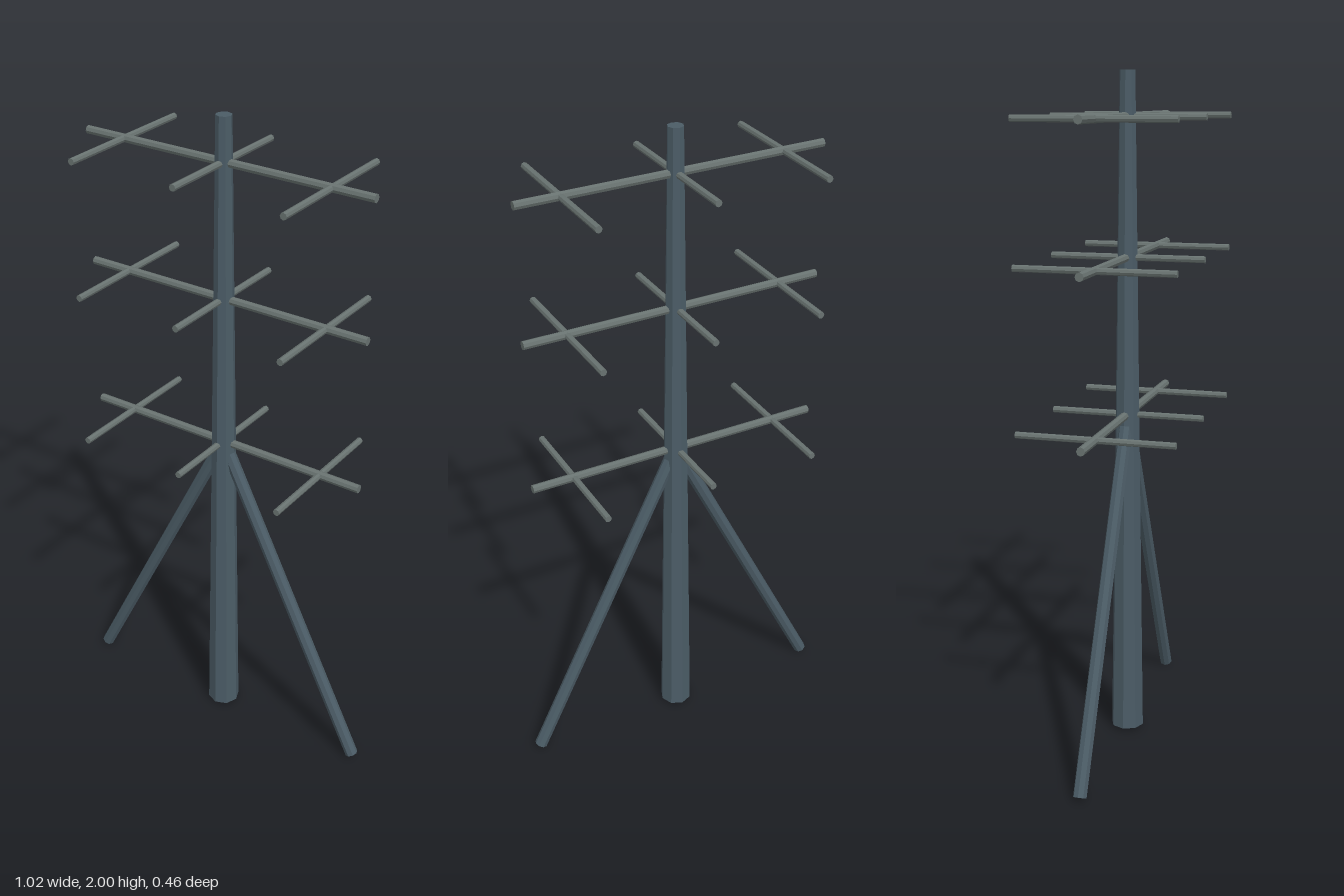
import * as THREE from 'three';

export function createModel() {
  const model = new THREE.Group();
  model.name = 'antennaMast';

  const steel = new THREE.MeshStandardMaterial({ color: 0x4b5c66, flatShading: true });
  const alloy = new THREE.MeshStandardMaterial({ color: 0x687270, flatShading: true });

  // Straight tapered bar between two points
  function bar(name, from, to, rFrom, rTo, sides, material, parent = model) {
    const a = new THREE.Vector3(...from);
    const b = new THREE.Vector3(...to);
    const dir = b.clone().sub(a);
    const mesh = new THREE.Mesh(new THREE.CylinderGeometry(rTo, rFrom, dir.length(), sides), material);
    mesh.name = name;
    mesh.position.copy(a).add(b).multiplyScalar(0.5);
    mesh.quaternion.setFromUnitVectors(new THREE.Vector3(0, 1, 0), dir.normalize());
    parent.add(mesh);
  }

  // Tapered central mast
  bar('mast', [0, 0.009, 0], [0, 2, 0], 0.05, 0.023, 8, steel);

  // Diagonal braces on both sides
  for (const side of [1, -1]) {
    bar(side > 0 ? 'leftBrace' : 'rightBrace',
      [side * 0.494, 0.009, 0], [0, 1.005, 0], 0.02, 0.02, 8, steel);
  }

  // Three antenna tiers: a long crossbar carrying three short rods
  for (const y of [1.005, 1.472, 1.871]) {
    const tier = new THREE.Group();
    tier.name = 'antennaTier';
    tier.position.y = y;
    bar('crossbar', [-0.462, 0, 0], [0.462, 0, 0], 0.0125, 0.0125, 8, alloy, tier);
    for (const x of [-0.333, 0, 0.333]) {
      bar('rod', [x, 0, -0.231], [x, 0, 0.231], 0.01, 0.01, 8, alloy, tier);
    }
    model.add(tier);
  }

  return model;
}
